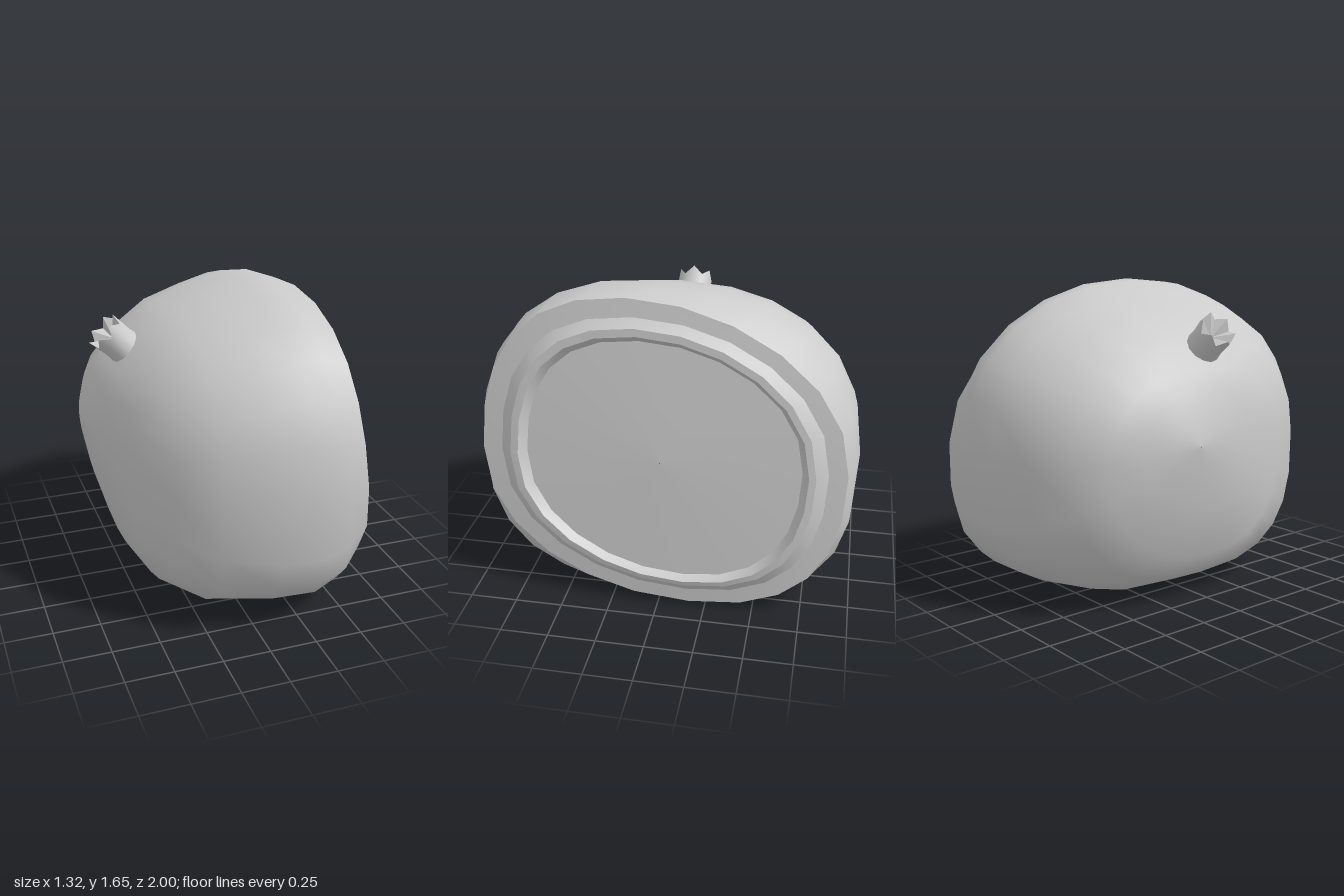
import * as THREE from 'three';

const SEG = 24;
const material = () => new THREE.MeshStandardMaterial({ color: 0xcccccc });

// Cross-section: [xTop, yTop, xBottom, yBottom, zFront, zBack, yCentre,
//                 powerTop, powerBottom, zShiftTop, zShiftBottom]
function ringPoints([xt, yt, xb, yb, zf, zb, yc, pt, pb, st, sb]) {
  const pts = [];
  const zc = (zf + zb) / 2, half = (zf - zb) / 2;
  for (let j = 0; j < SEG; j++) {
    const a = (j / SEG) * Math.PI * 2;
    const c = Math.cos(a), s = Math.sin(a);
    const p = 2 / (s > 0 ? pt : pb);
    const u = Math.sign(c) * Math.abs(c) ** p;
    const v = Math.sign(s) * Math.abs(s) ** p;
    const y = yc + v * (s > 0 ? yt - yc : yc - yb);
    const x = xb + (xt - xb) * (y - yb) / (yt - yb);
    pts.push([x, y, zc + (u + (s > 0 ? st : sb) * v * v) * half]);
  }
  return pts;
}

// Joins closed loops of points into a surface
function loft(name, loops) {
  const n = loops[0].length, index = [];
  for (let i = 0; i < loops.length - 1; i++) {
    for (let j = 0; j < n; j++) {
      const k = (j + 1) % n;
      const a = i * n + j, b = i * n + k, c = a + n, d = b + n;
      index.push(a, c, b, b, c, d);
    }
  }
  const g = new THREE.BufferGeometry();
  g.setAttribute('position', new THREE.Float32BufferAttribute(loops.flat(2), 3));
  g.setIndex(index);
  g.computeVertexNormals();
  const mesh = new THREE.Mesh(g, material());
  mesh.name = name;
  return mesh;
}

function createCrown() {
  const n = 12;
  const loop = (r, h) => Array.from({ length: n }, (_, j) => {
    const a = (j / n) * Math.PI * 2;
    return [r * Math.cos(a), h(j), -r * Math.sin(a)];
  });
  const rim = loop(0.095, (j) => (j % 2 ? 0.125 : 0.17));
  // Slightly waisted tube
  const side = loft('crownSide', [rim, loop(0.09, () => 0.05), loop(0.1, () => -0.06)]);
  // Pleats sinking from the zigzag rim to the middle
  const pleats = loft('crownPleats', [loop(0.0005, () => 0.085), rim]);
  pleats.material.flatShading = true;
  const crown = new THREE.Group();
  crown.name = 'crown';
  crown.add(side, pleats);
  crown.children.forEach((m) => { m.material.side = THREE.DoubleSide; });
  crown.position.set(-0.445, 1.325, 0);
  crown.rotation.z = 0.83;
  return crown;
}

export function createModel() {
  const group = new THREE.Group();
  group.name = 'cutFruit';

  // Stepped rings from the cut edge to the recessed floor
  const cut = [
    [0.42, 1.63, 0.61, 0.012, 0.945, -0.945, 0.8, 2.1, 2.25, 0.2, -0.17],
    [0.44, 1.54, 0.61, 0.09, 0.84, -0.85, 0.8, 2.15, 2.2, 0.18, -0.17],
    [0.49, 1.5, 0.65, 0.14, 0.78, -0.79, 0.8, 2.15, 2.2, 0.18, -0.17],
    [0.495, 1.46, 0.655, 0.165, 0.74, -0.755, 0.8, 2.15, 2.15, 0.18, -0.17],
    [0.445, 1.42, 0.605, 0.18, 0.705, -0.72, 0.8, 2.15, 2.15, 0.18, -0.17],
  ].map(ringPoints);

  // Gently domed floor
  const floor = [
    [0.5, 1.1, 0.575, 0.5, 0.35, -0.36, 0.8, 2, 2, 0.1, -0.1],
    [0.545, 0.802, 0.545, 0.798, 0.002, -0.002, 0.8, 2, 2, 0, 0],
  ].map(ringPoints);

  // Rounded skin from the closed end to the cut
  const skin = [
    [-0.66, 0.872, -0.66, 0.868, -0.198, -0.202, 0.87, 2, 2, 0, 0],
    [-0.64, 1.0, -0.64, 0.72, 0.02, -0.35, 0.86, 2, 2, 0, 0.05],
    [-0.59, 1.15, -0.6, 0.52, 0.23, -0.49, 0.84, 2.1, 2.2, 0, 0.08],
    [-0.53, 1.24, -0.52, 0.25, 0.5, -0.66, 0.82, 2.2, 2.4, 0.04, 0.1],
    [-0.39, 1.4, -0.42, 0.115, 0.73, -0.8, 0.8, 2.25, 2.6, 0.05, 0.08],
    [-0.21, 1.52, -0.2, 0.015, 0.89, -0.92, 0.8, 2.3, 2.9, 0.05, 0.05],
    [0.0, 1.59, 0.1, 0.01, 0.975, -0.98, 0.8, 2.35, 3.3, 0.05, 0],
    [0.17, 1.645, 0.34, 0.004, 0.998, -0.998, 0.8, 2.35, 3.2, 0.06, 0],
    [0.3, 1.655, 0.5, 0.0, 0.98, -0.985, 0.8, 2.25, 2.8, 0.1, -0.05],
  ].map(ringPoints);

  group.add(loft('skin', [...skin, cut[0]]));
  ['cutFace', 'ridgeSide', 'ridgeTop', 'recessWall'].forEach((name, i) => {
    group.add(loft(name, [cut[i], cut[i + 1]]));
  });
  group.add(loft('recessFloor', [cut[4], ...floor]));

  group.add(createCrown());
  return group;
}
